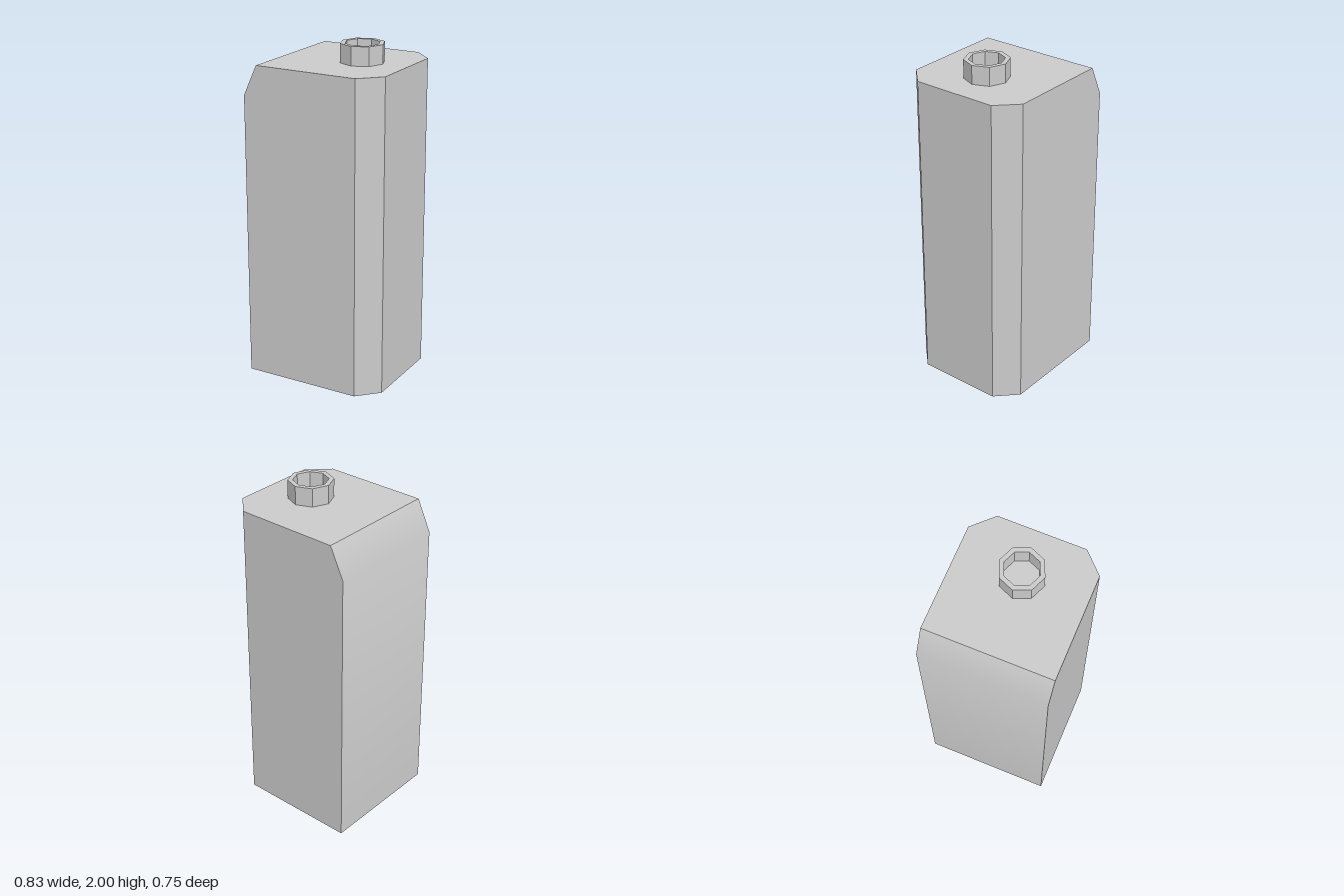
import * as THREE from 'three';
import { toCreasedNormals } from 'three/addons/utils/BufferGeometryUtils.js';
import { ConvexGeometry } from 'three/addons/geometries/ConvexGeometry.js';

const HALF_X = 0.417, HALF_Z = 0.377, TOP = 1.89;

// Tall can with two cut vertical corners on +x and a sloped shoulder on -x
function makeBody() {
  const points = [];
  for (const s of [-1, 1]) {
    for (const y of [0, TOP]) {
      points.push(new THREE.Vector3(HALF_X, y, s * 0.258));
      points.push(new THREE.Vector3(0.298, y, s * HALF_Z));
    }
    points.push(new THREE.Vector3(-HALF_X, 0, s * HALF_Z));
    points.push(new THREE.Vector3(-HALF_X, 1.71, s * HALF_Z));
    points.push(new THREE.Vector3(-0.332, TOP, s * HALF_Z));
  }
  // The shallow bend below the shoulder shades smoothly, other edges stay sharp
  return toCreasedNormals(new ConvexGeometry(points), THREE.MathUtils.degToRad(32));
}

// Open eight-sided spout ring
function makeNeck() {
  const profile = [[0.13, TOP], [0.13, 2], [0.102, 2], [0.102, TOP]]
    .map(([r, y]) => new THREE.Vector2(r, y));
  return new THREE.LatheGeometry(profile, 8);
}

export function createModel() {
  const group = new THREE.Group();
  group.name = 'canister';

  const body = new THREE.Mesh(makeBody(), new THREE.MeshStandardMaterial({ color: 0xcccccc }));
  body.name = 'body';

  const neck = new THREE.Mesh(
    makeNeck(),
    new THREE.MeshStandardMaterial({ color: 0xcccccc, flatShading: true })
  );
  neck.name = 'neck';
  neck.position.x = 0.135;

  group.add(body, neck);
  return group;
}
